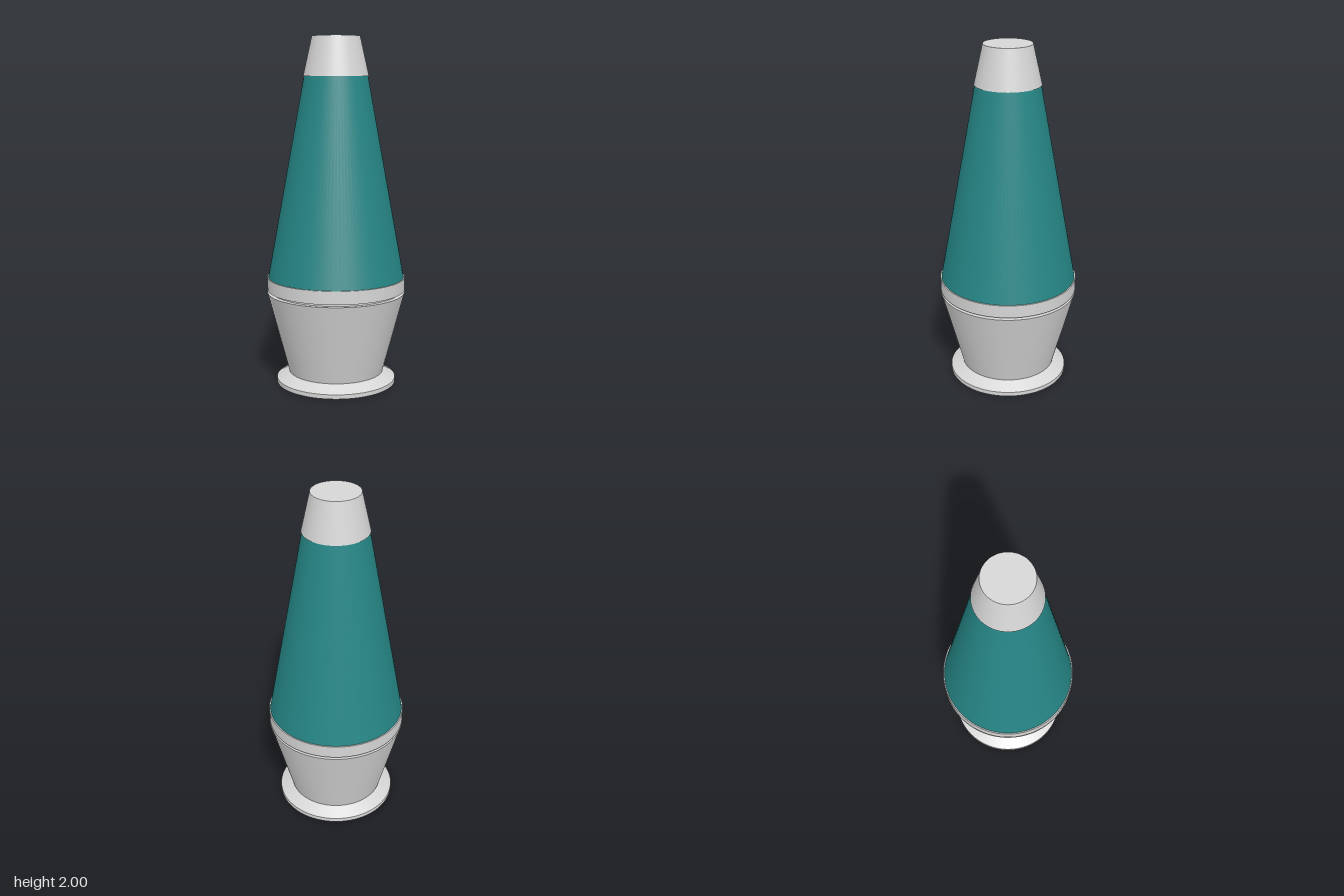
import * as THREE from 'three';

const SEGMENTS = 96;

export function createModel() {
  const model = new THREE.Group();
  model.name = 'lamp';

  const metal = new THREE.MeshStandardMaterial({ color: 0xd6d6d6 });
  metal.name = 'brushed silver';
  const teal = new THREE.MeshStandardMaterial({ color: 0x268686 });
  teal.name = 'teal glass';

  // Closed tapered ring between two heights
  function taper(name, bottomRadius, topRadius, bottomY, topY, material) {
    const height = topY - bottomY;
    const mesh = new THREE.Mesh(
      new THREE.CylinderGeometry(topRadius, bottomRadius, height, SEGMENTS), material);
    mesh.name = name;
    mesh.position.y = bottomY + height / 2;
    model.add(mesh);
  }

  // Foot: thin disc with a sloped shoulder
  taper('footRim', 0.348, 0.348, 0, 0.025, metal);
  taper('footShoulder', 0.348, 0.275, 0.025, 0.063, metal);

  // Flared base, recessed neck and collar
  taper('base', 0.275, 0.4, 0.063, 0.535, metal);
  taper('neck', 0.373, 0.373, 0.535, 0.55, metal);
  taper('collar', 0.4, 0.4, 0.55, 0.625, metal);

  // Glass vessel and cap
  taper('glass', 0.393, 0.182, 0.625, 1.777, teal);
  taper('cap', 0.187, 0.137, 1.777, 2, metal);

  return model;
}
